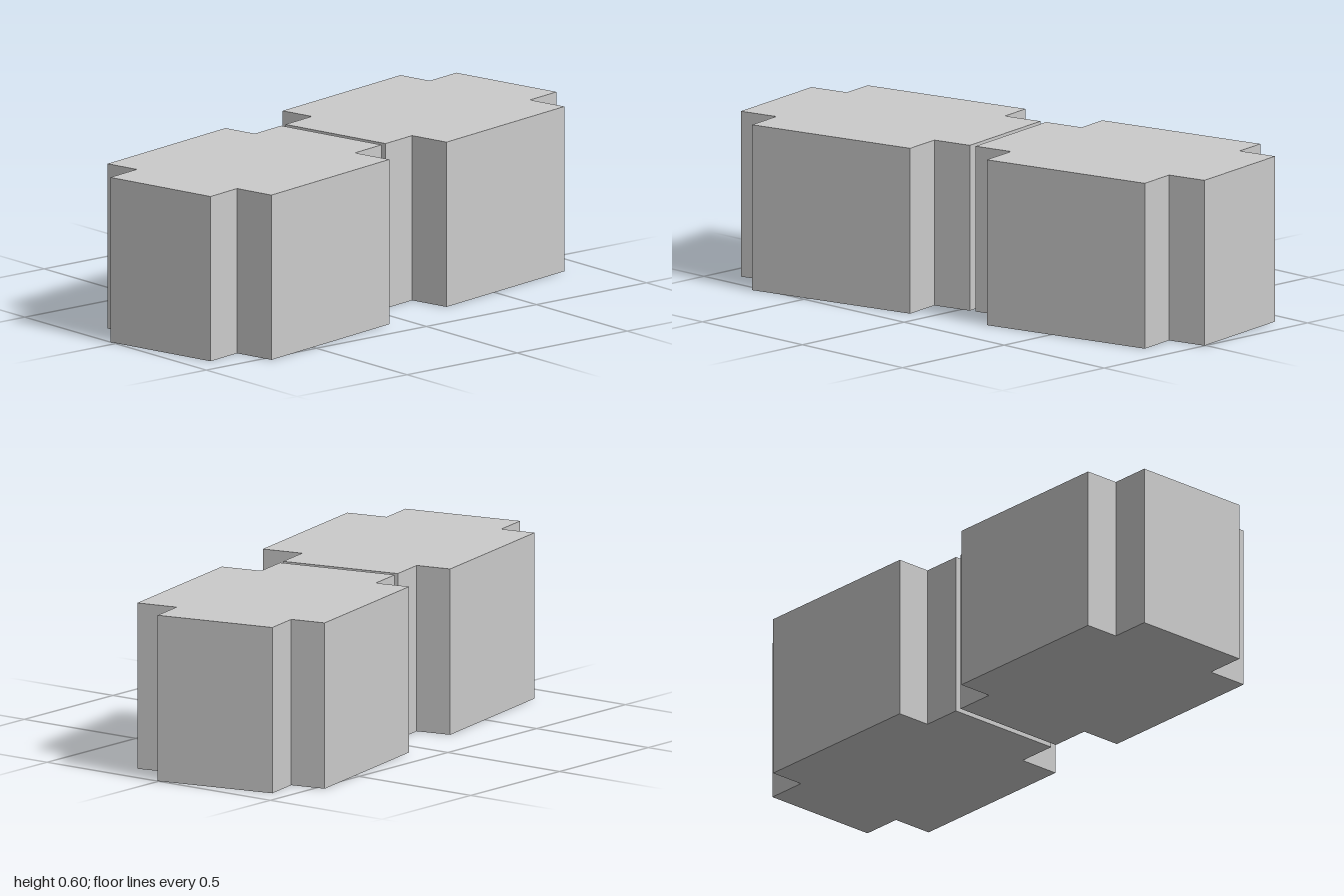
import * as THREE from 'three';

const HEIGHT = 0.595;
const material = new THREE.MeshStandardMaterial({ color: 0xcccccc, flatShading: true });

// Cross-shaped floor plan: a wide body with a bay projecting front and back.
function blockGeometry() {
  const bodyX = 0.481, bayX = 0.332;
  const bodyFront = 0.213, bodyBack = 0.236, bay = 0.367;
  const plan = new THREE.Shape([
    [-bodyX, -bodyFront], [-bayX, -bodyFront], [-bayX, -bay],
    [bayX, -bay], [bayX, -bodyFront], [bodyX, -bodyFront],
    [bodyX, bodyBack], [bayX, bodyBack], [bayX, bay],
    [-bayX, bay], [-bayX, bodyBack], [-bodyX, bodyBack],
  ].map(([x, y]) => new THREE.Vector2(x, y)));
  // Plan +y becomes the back (-z) once the extrusion stands upright.
  return new THREE.ExtrudeGeometry(plan, { depth: HEIGHT, bevelEnabled: false })
    .rotateX(-Math.PI / 2);
}

export function createModel() {
  const model = new THREE.Group();
  model.name = 'twinBuilding';

  // Two identical blocks side by side, separated by a narrow gap.
  const geometry = blockGeometry();
  for (const [name, x] of [['rightBlock', -0.491], ['leftBlock', 0.495]]) {
    const block = new THREE.Mesh(geometry, material);
    block.name = name;
    block.position.x = x;
    model.add(block);
  }

  // The whole row is turned on its site.
  const row = new THREE.Group();
  row.name = 'blockRow';
  row.add(...model.children.slice());
  row.rotation.y = THREE.MathUtils.degToRad(12);
  model.add(row);
  return model;
}
